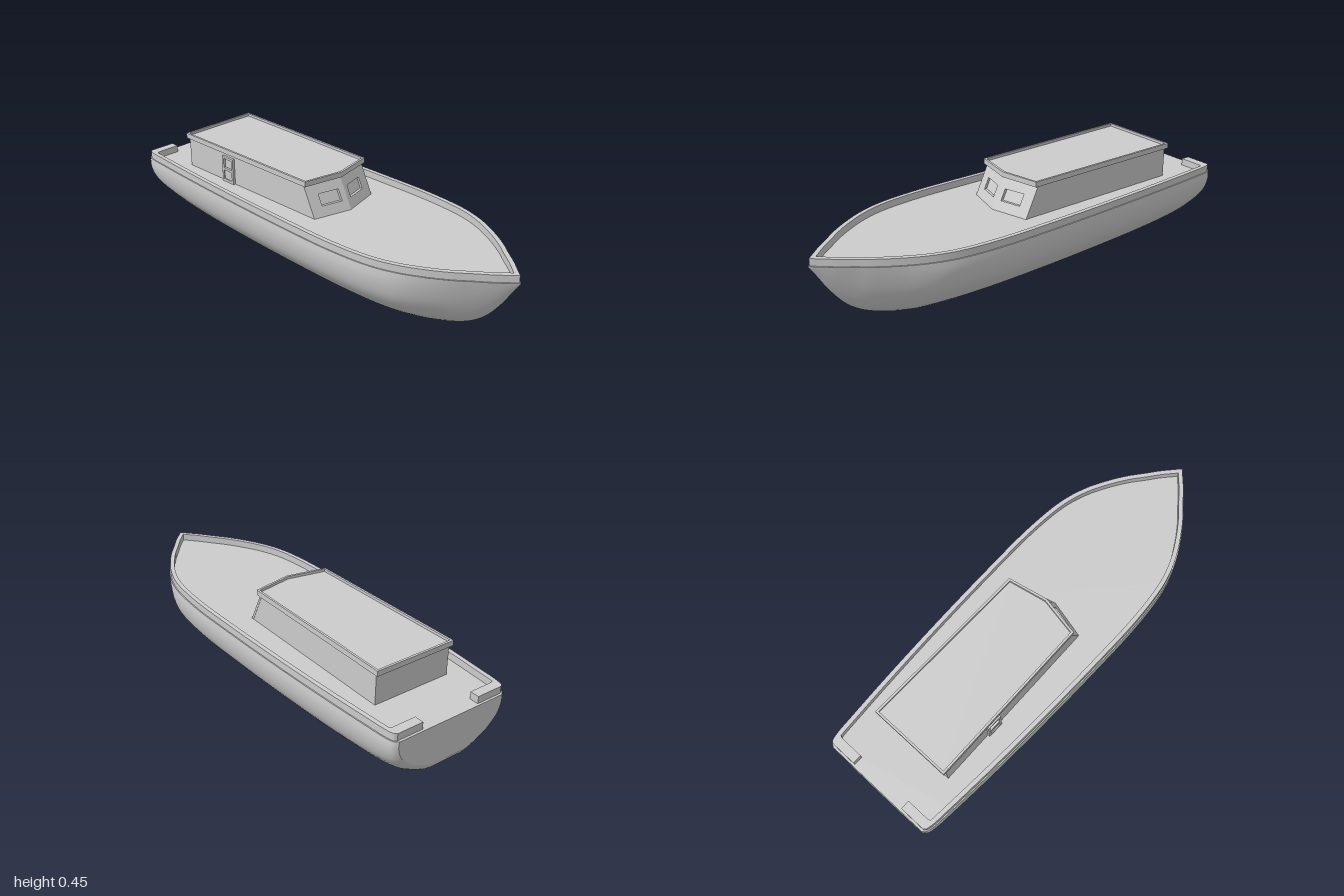
import * as THREE from 'three';
import { toCreasedNormals } from 'three/addons/utils/BufferGeometryUtils.js';

const DECK = 0.288, RAIL_TOP = 0.32, RAKE = 0.48;
const material = new THREE.MeshStandardMaterial({ color: 0xcccccc, side: THREE.DoubleSide });

// Hull stations: x, half beam, keel height
const stations = new THREE.CatmullRomCurve3([
  [-1, 0.262, 0.11], [-0.985, 0.278, 0.085], [-0.95, 0.287, 0.06], [-0.85, 0.295, 0.033],
  [-0.65, 0.308, 0.015], [-0.35, 0.322, 0.005], [0, 0.331, 0], [0.3, 0.331, 0],
  [0.5, 0.31, 0], [0.62, 0.272, 0.002], [0.72, 0.22, 0.014], [0.8, 0.168, 0.04],
  [0.86, 0.12, 0.085], [0.92, 0.073, 0.16], [0.97, 0.028, 0.24], [1, 0.001, 0.285],
].map(p => new THREE.Vector3(...p))).getPoints(90);

// Half section from keel to sheer: fraction of beam, fraction of depth
const section = new THREE.SplineCurve([
  [0, 0], [0.31, 0], [0.66, 0.2], [0.8, 0.345], [0.92, 0.52], [0.98, 0.69], [1.003, 0.86], [0.995, 1],
].map(p => new THREE.Vector2(...p))).getPoints(24);

// Points [z, y] of one station, from the +z sheer under the keel to the -z sheer
function ring({ x, y: beam, z: keel }) {
  const v = THREE.MathUtils.smoothstep(x, 0.55, 0.95) * 0.8;
  const half = section.map(p => {
    const h = THREE.MathUtils.clamp(p.y, 0, 1);
    const w = THREE.MathUtils.lerp(p.x, Math.pow(h, 0.7), v);
    return [w * beam, keel + h * (DECK - keel)];
  });
  return [...half.slice(1).reverse(), ...half.map(([z, y]) => [-z, y])];
}

function mesh(name, geometry) {
  const m = new THREE.Mesh(geometry, material);
  m.name = name;
  return m;
}

const shapeOf = pts => new THREE.Shape(pts.map(p => new THREE.Vector2(...p)));
const rectangle = (x0, x1, y0, y1) => shapeOf([[x0, y0], [x1, y0], [x1, y1], [x0, y1]]);

// Plan outline [x, z] extruded upward from y0 to y1
function slab(pts, y0, y1, hole) {
  const flip = list => list.map(([x, z]) => [x, -z]);
  const shape = shapeOf(flip(pts));
  if (hole) shape.holes.push(shapeOf(flip(hole)));
  const g = new THREE.ExtrudeGeometry(shape, { depth: y1 - y0, bevelEnabled: false });
  return g.rotateX(-Math.PI / 2).translate(0, y0, 0);
}

// Moves every vertex by a rule
function warp(g, rule) {
  const p = g.attributes.position;
  for (let i = 0; i < p.count; i++) p.setXYZ(i, ...rule(p.getX(i), p.getY(i), p.getZ(i)));
  g.computeVertexNormals();
  return g;
}

function hullGeometry() {
  const rings = stations.map(ring), n = rings[0].length;
  const pos = [], index = [];
  rings.forEach((r, i) => r.forEach(([z, y]) => pos.push(stations[i].x, y, z)));
  for (let i = 0; i < rings.length - 1; i++) {
    for (let j = 0; j < n - 1; j++) {
      const a = i * n + j, b = a + n;
      index.push(a, a + 1, b, b, a + 1, b + 1);
    }
  }
  const g = new THREE.BufferGeometry();
  g.setAttribute('position', new THREE.Float32BufferAttribute(pos, 3));
  g.setIndex(index);
  return toCreasedNormals(g, 0.6);
}

// Bulwark running round the bow, returning across both stern corners
function bulwarkGeometry() {
  const offset = d => stations.map((s, i) => {
    const a = stations[Math.max(i - 1, 0)], b = stations[Math.min(i + 1, stations.length - 1)];
    const dx = b.x - a.x, dw = b.y - a.y, l = Math.hypot(dx, dw);
    return [s.x + d * dw / l, s.y * 0.995 - d * dx / l];
  });
  const outer = offset(0.005).filter(([x, z]) => x > -0.985 && z > 0.001);
  const inner = offset(0.025).filter(([x, z]) => x > -0.935 && z > 0.001);
  const tip = pts => {
    const [a, b] = pts.slice(-2);
    return [b[0] + b[1] * (b[0] - a[0]) / (a[1] - b[1]), 0];
  };
  const mirror = pts => pts.map(([x, z]) => [x, -z]).reverse();
  const outSide = [[-0.99, 0.14], [-0.99, 0.262], ...outer];
  const inSide = [[-0.948, 0.14], [-0.948, 0.252], [-0.943, 0.262], ...inner];
  const loop = [...outSide, tip(outer), ...mirror(outSide), ...mirror(mirror(mirror(inSide))).reverse(), tip(inner), ...[...inSide].reverse()];
  return toCreasedNormals(slab(loop, DECK - 0.004, RAIL_TOP), 0.5);
}

function buildHull() {
  const hull = new THREE.Group();
  hull.name = 'hull';
  hull.add(mesh('hullShell', hullGeometry()));

  const transom = new THREE.ShapeGeometry(shapeOf(ring(stations[0])));
  hull.add(mesh('transom', transom.rotateY(-Math.PI / 2).translate(-1, 0, 0)));

  const side = stations.map(s => [s.x, s.y * 0.995]);
  const outline = [...side, ...side.map(([x, w]) => [x, -w]).reverse()];
  const deck = new THREE.ShapeGeometry(shapeOf(outline));
  hull.add(mesh('deck', deck.rotateX(-Math.PI / 2).translate(0, DECK, 0)));
  hull.add(mesh('bulwark', bulwarkGeometry()));
  return hull;
}

function buildCabin() {
  const cabin = new THREE.Group();
  cabin.name = 'cabin';

  // Walls, with the front leaning back
  const plan = [[-0.77, -0.181], [0.053, -0.177], [0.098, 0], [0.053, 0.178], [-0.77, 0.19]];
  const lean = (x, y, z) => [x > 0 ? x - RAKE * (y - DECK) : x, y, z];
  cabin.add(mesh('cabinWalls', warp(slab(plan, DECK, 0.43), lean)));

  // Two raked windscreen panels, each with a recessed window
  for (const s of [-1, 1]) {
    const span = (a, b) => [Math.min(s * a, s * b), Math.max(s * a, s * b)];
    const panel = rectangle(...span(0, 0.178), DECK, 0.43);
    panel.holes.push(rectangle(...span(0.027, 0.125), 0.33, 0.38));
    const g = new THREE.ExtrudeGeometry(panel, { depth: 0.012, bevelEnabled: false });
    warp(g, (a, y, d) => [0.098 + d - 0.253 * Math.abs(a) - RAKE * (y - DECK), y, -a]);
    cabin.add(mesh(s < 0 ? 'leftWindscreen' : 'rightWindscreen', g));
  }

  // Roof plate with a raised rim
  const roof = [[-0.785, -0.189], [0.015, -0.183], [0.052, 0], [0.015, 0.185], [-0.785, 0.197]];
  const inside = [[-0.775, -0.179], [0.007, -0.173], [0.041, 0], [0.007, 0.175], [-0.775, 0.187]];
  cabin.add(mesh('roofRim', slab(roof, 0.425, 0.449, inside)));
  cabin.add(mesh('roofPlate', slab(inside, 0.425, 0.437)));

  // Side door: frame, window opening and lower panel
  const frame = rectangle(-0.525, -0.45, DECK, 0.412);
  frame.holes.push(rectangle(-0.514, -0.461, 0.355, 0.401), rectangle(-0.514, -0.461, 0.3, 0.344));
  const door = new THREE.ExtrudeGeometry(frame, { depth: 0.014, bevelEnabled: false });
  cabin.add(mesh('doorFrame', door.translate(0, 0, 0.183)));
  const panel = new THREE.BoxGeometry(0.056, 0.047, 0.008);
  cabin.add(mesh('doorPanel', panel.translate(-0.4875, 0.322, 0.188)));
  return cabin;
}

export function createModel() {
  const boat = new THREE.Group();
  boat.name = 'boat';
  boat.add(buildHull(), buildCabin());
  return boat;
}
